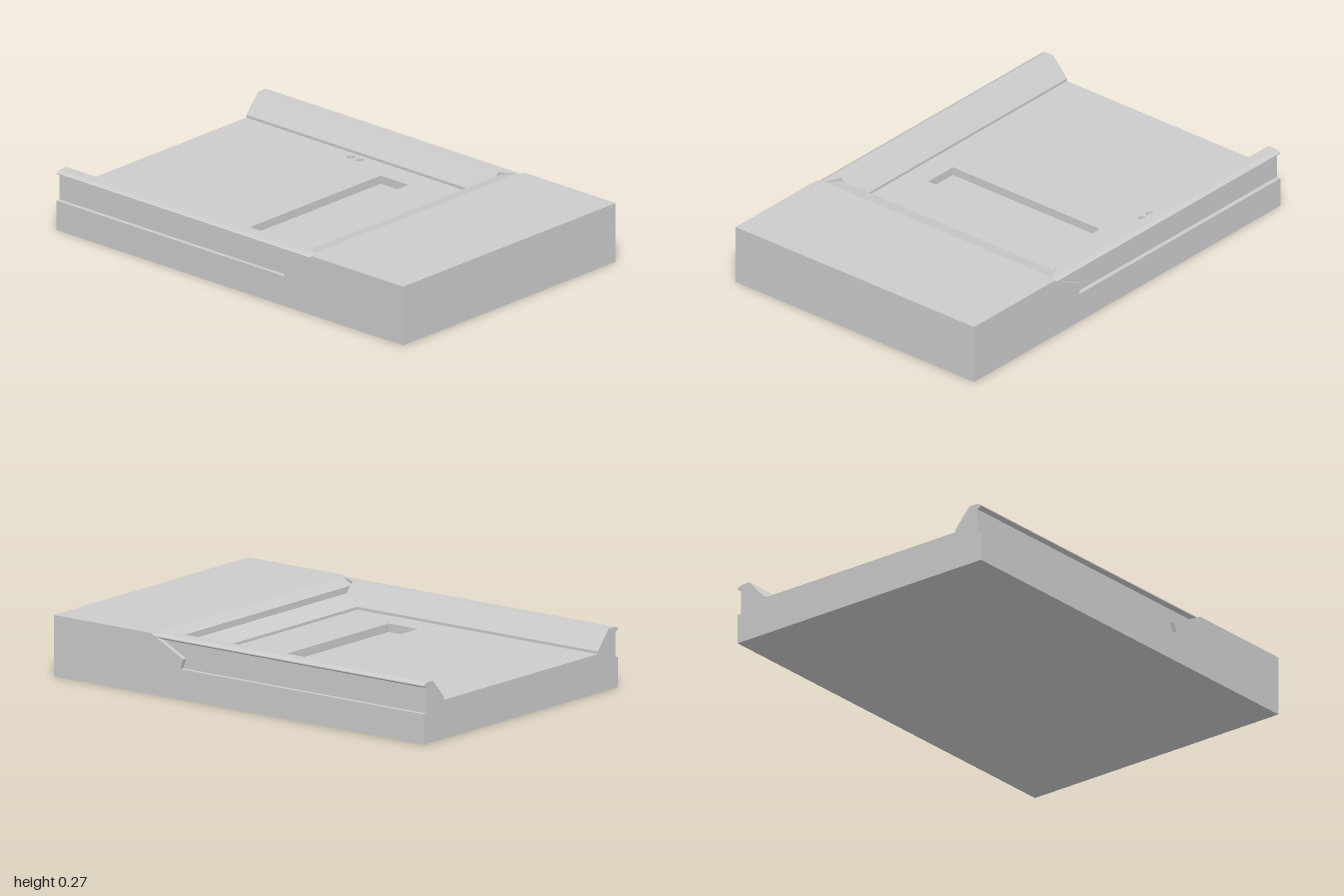
import * as THREE from 'three';

const HALF = 0.665, TOP = 0.267, LEDGE = 0.133, FLOOR = 0.17, WALL = 0.645;

export function createModel() {
  const model = new THREE.Group();
  const material = new THREE.MeshStandardMaterial({ color: 0xcccccc });

  const shapeOf = (points) => new THREE.Shape(points.map(([a, b]) => new THREE.Vector2(a, b)));
  const extrude = (shape, depth) =>
    new THREE.ExtrudeGeometry(shape, { depth, bevelEnabled: false, curveSegments: 10 });
  const add = (name, geometry) => {
    const mesh = new THREE.Mesh(geometry, material);
    mesh.name = name;
    model.add(mesh);
  };
  // (x, y) section swept along z
  const alongZ = (name, points, z0, z1) =>
    add(name, extrude(shapeOf(points), z1 - z0).translate(0, 0, z0));
  // (z, y) section swept along x
  const alongX = (name, points, x0, x1) =>
    add(name, extrude(shapeOf(points.map(([z, y]) => [-z, y])), x1 - x0)
      .rotateY(Math.PI / 2).translate(x0, 0, 0));
  // (x, z) outline raised along y
  const alongY = (name, shape, y0, y1) =>
    add(name, extrude(shape, y1 - y0).rotateX(-Math.PI / 2).translate(0, y0, 0));

  // Base slab
  add('base', new THREE.BoxGeometry(2 * HALF, LEDGE, 2).translate(0, LEDGE / 2, 0));

  // Floor plate with a long pocket and two round holes
  const floor = shapeOf([[-0.56, -0.3], [0.56, -0.3], [0.56, 1], [-0.56, 1]]);
  floor.holes.push(new THREE.Path([[-0.41, -0.04], [-0.41, 0.12], [0.41, 0.12], [0.41, -0.04]]
    .map(([x, a]) => new THREE.Vector2(x, a))));
  for (const z of [-0.36, -0.31]) {
    floor.holes.push(new THREE.Path().absarc(0.485, -z, 0.018, 0, Math.PI * 2, true));
  }
  alongY('floorPlate', floor, LEDGE, FLOOR);

  // Raised front block, with a ramp and a shallow chamfer facing the floor
  alongX('frontBlock', [[0.3, LEDGE], [1, LEDGE], [1, TOP], [0.46, TOP], [0.385, 0.25],
    [0.385, 0.222], [0.3, 0.182]], -WALL, WALL);

  for (const s of [-1, 1]) {
    const side = s > 0 ? 'left' : 'right';
    const mirror = (points) => points.map(([x, b]) => [s * x, b]);

    // Sloped side rail
    alongZ(side + 'Rail', mirror([[0.525, LEDGE], [0.525, 0.182], [0.6, TOP], [WALL, TOP],
      [WALL, LEDGE]]), -1, 0.385);
    // Mitred end of the rail beside the chamfer
    alongY(side + 'RailEnd', shapeOf(mirror([[0.6, -0.385], [WALL, -0.385], [WALL, -0.46],
      [0.63, -0.46]])), 0.2, TOP);
    // Overhanging lip along the rail
    alongZ(side + 'Lip', mirror([[WALL, TOP], [HALF, 0.257], [HALF, 0.253], [WALL, 0.243]]),
      -1, 0.47);
    // Front block cheek, cut at a slant behind the side groove
    alongX(side + 'Cheek', [[0.315, LEDGE], [1, LEDGE], [1, TOP], [0.475, TOP], [0.3, 0.178]],
      s > 0 ? WALL : -HALF, s > 0 ? HALF : -WALL);
  }
  return model;
}
